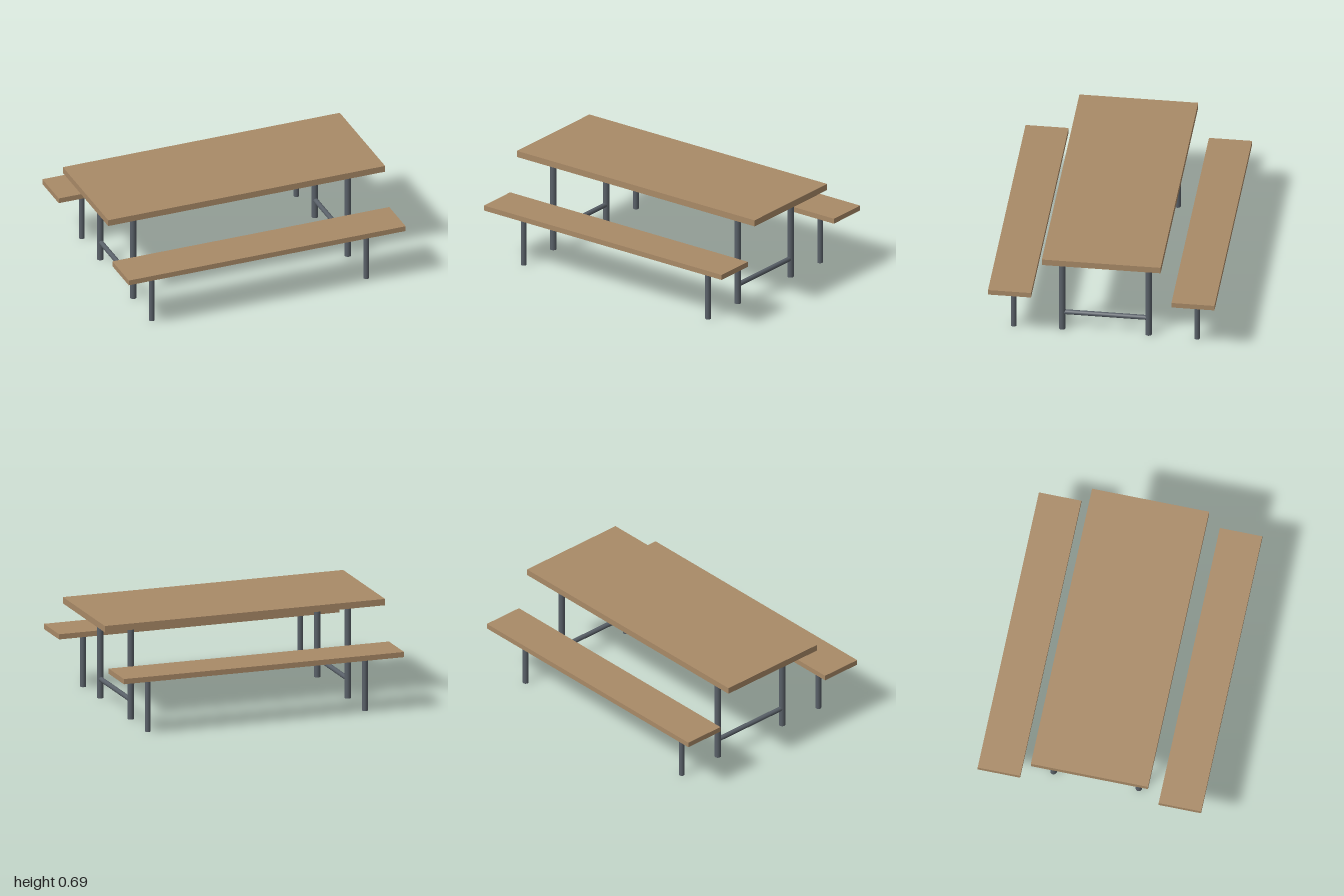
import * as THREE from 'three';

export function createModel() {
  const table = new THREE.Group();
  table.name = 'picnicTable';
  const wood = new THREE.MeshStandardMaterial({ color: 0xa98a67 });
  const steel = new THREE.MeshStandardMaterial({ color: 0x596068 });

  const add = (name, geometry, material, x, y, z) => {
    const mesh = new THREE.Mesh(geometry, material);
    mesh.name = name;
    mesh.position.set(x, y, z);
    table.add(mesh);
    return mesh;
  };
  const board = (name, bottom, top, depth, z) =>
    add(name, new THREE.BoxGeometry(2, top - bottom, depth), wood, 0, (bottom + top) / 2, z);
  const post = (name, radius, bottom, top, x, z) =>
    add(name, new THREE.CylinderGeometry(radius, radius, top - bottom, 20), steel, x, (bottom + top) / 2, z);

  // Table top and the bench on each side
  board('tableTop', 0.651, 0.695, 0.8, 0);
  for (const side of [1, -1]) {
    board(side > 0 ? 'frontBench' : 'backBench', 0.383, 0.419, 0.29, side * 0.618);
  }

  for (const end of [1, -1]) {
    const x = end * 0.775;
    const endName = end > 0 ? 'left' : 'right';
    // Table legs and bench legs
    for (const side of [1, -1]) {
      const sideName = side > 0 ? 'Front' : 'Back';
      post(`${endName}${sideName}TableLeg`, 0.022, 0.005, 0.651, x, side * 0.291);
      post(`${endName}${sideName}BenchLeg`, 0.0193, 0, 0.383, x, side * 0.618);
    }
    // Round cross rail joining the two table legs
    const rail = add(`${endName}CrossRail`, new THREE.CylinderGeometry(0.0165, 0.0165, 0.582, 20), steel, x, 0.137, 0);
    rail.rotation.x = Math.PI / 2;
  }
  return table;
}
